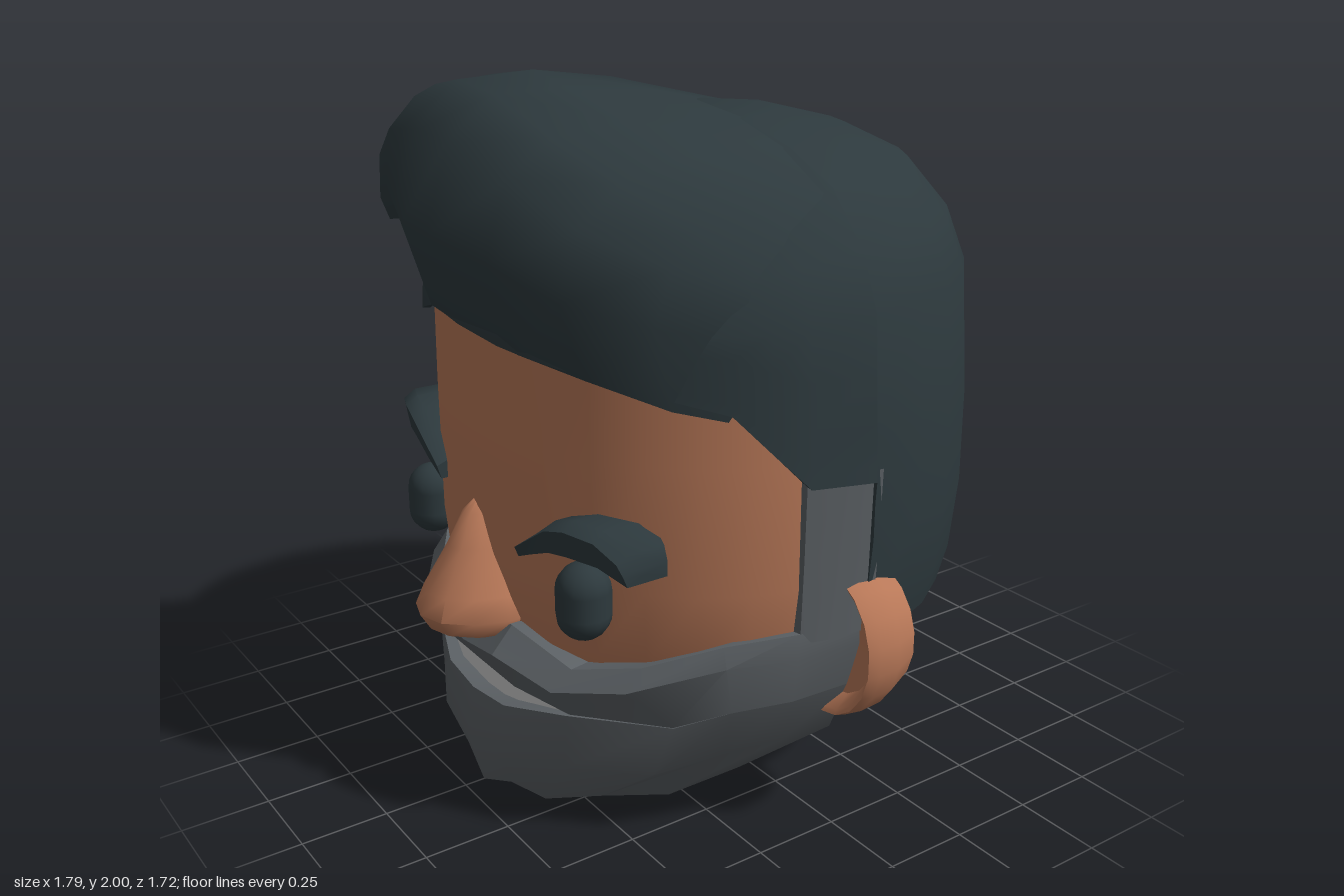
import * as THREE from 'three';
import { toCreasedNormals } from 'three/addons/utils/BufferGeometryUtils.js';

const paint = (color) => new THREE.MeshStandardMaterial({ color, side: THREE.DoubleSide });
const { sin, cos, sqrt, max, min, PI } = Math;

// Surface through rows of [x, y, z] points; closed joins each row end to start
function grid(rows, closed = false, crease = 0.7) {
  const n = rows[0].length, index = [];
  for (let r = 0; r < rows.length - 1; r++) {
    for (let c = 0; c < (closed ? n : n - 1); c++) {
      const a = r * n + c, b = r * n + (c + 1) % n;
      index.push(a, b, b + n, a, b + n, a + n);
    }
  }
  const g = new THREE.BufferGeometry();
  g.setAttribute('position', new THREE.Float32BufferAttribute(rows.flat(2), 3));
  g.setIndex(index);
  return toCreasedNormals(g, crease);
}

// Horizontal oval whose front and back have different depths
function oval(y, hw, front, back, cz = 0, n = 32) {
  return Array.from({ length: n }, (_, i) => {
    const a = (i / n) * PI * 2, c = cos(a);
    return [hw * sin(a), y, cz + c * (c > 0 ? front : back)];
  });
}

// Linear lookup in a list of [key, value]
function lookup(list, k) {
  let i = 1;
  while (i < list.length - 1 && k > list[i][0]) i++;
  const [k0, v0] = list[i - 1], [k1, v1] = list[i];
  return v0 + (v1 - v0) * min(1, max(0, (k - k0) / (k1 - k0)));
}

// Full row from its left half, which starts on the centre line
const mirrorRow = (half) => [...half.slice(1).reverse().map(([x, y, z]) => [-x, y, z]), ...half];
const faceZ = (x) => 0.68 * sqrt(1 - (x / 0.765) ** 2);

export function createModel() {
  const model = new THREE.Group();
  model.name = 'beardedHead';
  const skin = paint(0xb87858), hair = paint(0x2d393d), beard = paint(0x5b6064), pale = paint(0xcccccc);
  const add = (name, geometry, material) => {
    const mesh = new THREE.Mesh(geometry, material);
    mesh.name = name;
    model.add(mesh);
    return mesh;
  };

  // Head: y, half width, front, back
  const headRings = [
    [0.08, 0, 0, 0], [0.08, 0.4, 0.36, 0.4], [0.1, 0.46, 0.42, 0.46], [0.2, 0.56, 0.5, 0.6], [0.35, 0.67, 0.57, 0.72],
    [0.54, 0.74, 0.66, 0.79], [0.75, 0.765, 0.68, 0.82], [1.1, 0.765, 0.68, 0.82], [1.42, 0.75, 0.68, 0.79], [1.5, 0.5, 0.4, 0.5],
  ];
  add('head', grid(headRings.map((r) => oval(...r)), true), skin);

  // Nose
  const noseRings = [
    [0.48, 0, 0, 0], [0.485, 0.08, 0.09, 0.1], [0.53, 0.155, 0.21, 0.1], [0.58, 0.178, 0.24, 0.1],
    [0.64, 0.15, 0.215, 0.1], [0.76, 0.09, 0.14, 0.1], [0.85, 0.05, 0.095, 0.1], [0.885, 0.015, 0.06, 0.1], [0.885, 0, 0, 0],
  ];
  add('nose', grid(noseRings.map((r) => oval(...r, 0.62, 14)), true, 1), skin);

  // Ears: turned discs with a dished front and a tapered back
  const earProfile = [[0, -0.05], [0.76, -0.04], [0.9, 0.008], [0.96, 0.016], [1, -0.02], [0.98, -0.09], [0.82, -0.17], [0, -0.17]];
  const earGeometry = new THREE.LatheGeometry(earProfile.map(([r, z]) => new THREE.Vector2(r, z)), 18);
  earGeometry.rotateX(PI / 2).scale(0.2, 0.225, 1);
  for (const s of [1, -1]) {
    const ear = add(s > 0 ? 'leftEar' : 'rightEar', toCreasedNormals(earGeometry, 0.7), skin);
    ear.position.set(s * 0.7, 0.555, 0);

    // Eyes
    const eye = add(s > 0 ? 'leftEye' : 'rightEye', new THREE.CapsuleGeometry(0.075, 0.065, 6, 14), hair);
    eye.position.set(s * 0.43, 0.725, 0.597);
  }

  // Eyebrows: x, y, half height along an arch; the right one is raised
  const brow = (name, s, arch) => {
    const rows = arch.map(([x, y, h]) => {
      const f = faceZ(x) + 0.01 + 0.35 * (x - 0.2), b = max(faceZ(x) - 0.04, 0.45);
      return [[s * x, y - h, b], [s * x, y - h, f], [s * x, y + h * 0.5, f + 0.012], [s * x, y + h, f - 0.025], [s * x, y + h, b]];
    });
    const end = (row) => row.map(() => row[0].map((_, k) => row.reduce((t, p) => t + p[k], 0) / row.length));
    add(name, grid([end(rows[0]), ...rows, end(rows.at(-1))], true), hair);
  };
  brow('leftBrow', 1, [[0.22, 0.81, 0.02], [0.29, 0.85, 0.028], [0.37, 0.897, 0.042], [0.44, 0.912, 0.048], [0.53, 0.905, 0.045], [0.585, 0.865, 0.035], [0.6, 0.84, 0.02]]);
  brow('rightBrow', -1, [[0.22, 0.895, 0.027], [0.29, 0.945, 0.038], [0.38, 0.99, 0.043], [0.45, 1.0, 0.047], [0.53, 0.995, 0.045], [0.58, 0.97, 0.033], [0.605, 0.95, 0.015]]);

  // Beard: each row runs from the centre line round to the ear
  const sideLip = [[0.69, 0.42, 0.31], [0.735, 0.42, 0.14], [0.745, 0.42, -0.05]];
  const top = [[0, 0.55, 0.67], [0.18, 0.572, 0.675], [0.38, 0.505, 0.61], [0.55, 0.55, 0.5], [0.68, 0.615, 0.33], [0.76, 0.63, 0.14], [0.785, 0.63, -0.05]];
  const ledge = [[0, 0.47, 0.735], [0.18, 0.5, 0.74], [0.37, 0.45, 0.67], [0.55, 0.49, 0.55], [0.7, 0.56, 0.335], [0.765, 0.56, 0.15], [0.785, 0.56, -0.05]];
  const upperLip = [[0, 0.388, 0.68], [0.18, 0.383, 0.675], [0.38, 0.372, 0.62], [0.58, 0.36, 0.42], ...sideLip];
  const lowerLip = [[0, 0.31, 0.71], [0.16, 0.322, 0.7], [0.37, 0.365, 0.625], [0.58, 0.358, 0.42], ...sideLip];
  const chin = [[0, 0.17, 0.735], [0.16, 0.19, 0.72], [0.36, 0.2, 0.625], [0.53, 0.2, 0.45], [0.62, 0.25, 0.28], [0.675, 0.27, 0.12], [0.67, 0.25, -0.05]];
  const hem = [[0, 0, 0.69], [0.13, 0.05, 0.67], [0.22, 0.02, 0.61], [0.35, 0.058, 0.5], [0.46, 0.065, 0.35], [0.53, 0.12, 0.16], [0.56, 0.16, -0.05]];
  const sole = [[0, 0.055, 0.5], [0.1, 0.06, 0.49], [0.2, 0.058, 0.46], [0.3, 0.063, 0.39], [0.39, 0.07, 0.27], [0.44, 0.085, 0.1], [0.46, 0.1, -0.05]];
  const under = [[0, 0.074, 0.24], [0.1, 0.074, 0.23], [0.19, 0.074, 0.2], [0.27, 0.075, 0.15], [0.33, 0.076, 0.08], [0.37, 0.078, 0.01], [0.4, 0.085, -0.05]];
  const inward = (row) => row.map(([x, y, z]) => [x * 0.96, y, z - 0.09]);
  const row = (half) => { // turn the rear edge in to the head
    const [x, y, z] = half.at(-1);
    return mirrorRow([...half, [x * 0.88, y, z - 0.02]]);
  };
  add('moustache', grid([inward(upperLip), upperLip, ledge, top, inward(top)].map(row), false, 0.5), beard);
  add('chinBeard', grid([under, sole, hem, chin, lowerLip, inward(lowerLip)].map(row), false, 0.8), beard);

  // Sideburns
  for (const s of [1, -1]) {
    const strip = [[0.6, 0], [0.84, 0.008], [1.06, 0.012]].map(([y, o]) =>
      [[0.71, 0.142], [0.758 + o, 0.14], [0.787 + o, 0.04], [0.79 + o * 1.6, -0.08]].map(([x, z]) => [s * x, y, z]));
    add(s > 0 ? 'leftSideburn' : 'rightSideburn', grid(strip), beard);
  }

  // Teeth
  add('teeth', grid([
    [[-0.34, 0.365, 0.61], [-0.16, 0.295, 0.66], [0.1, 0.3, 0.665], [0.34, 0.36, 0.61]],
    [[-0.34, 0.39, 0.61], [-0.16, 0.41, 0.65], [0.1, 0.41, 0.655], [0.34, 0.39, 0.61]],
  ]), pale);

  // Hair cap: the lower edge follows the hairline, by angle from the front
  const nape = [[78, 1.05], [93.4, 1.03], [93.6, 0.54], [180, 0.54]];
  const leftLine = [[0, 1.385], [20, 1.355], [40, 1.325], [62, 1.255], ...nape];
  const rightLine = [[0, 1.385], [13, 1.395], [30, 1.325], [62, 1.25], ...nape];
  const girth = [[0.54, 0.765], [0.62, 0.79], [0.85, 0.812], [1.02, 0.82], [1.47, 0.79]];
  const dome = [[1.62, 0.735], [1.76, 0.62], [1.84, 0.46], [1.89, 0.27], [1.92, 0]];
  const half = [0, 13, 21, 30, 40, 51, 62, 70, 78, 93.4, 93.6, 106, 118, 130, 143, 155, 168];
  const angles = [...half, 180, ...half.slice(1).reverse().map((d) => 360 - d)];
  // The crown dips toward the front and the right, below the quiff
  const capPoint = (deg, y, r) => {
    const a = deg * PI / 180, x = sin(a) * r, z = cos(a) * r * (cos(a) > 0 ? 0.885 : 1.055);
    const dip = min(1, max(0, (y - 1.4) / 0.25));
    return [x, y - dip * (0.2 * max(0, z) + 0.17 * max(0, -x)), z];
  };
  const edge = (deg) => (deg > 180 ? lookup(rightLine, 360 - deg) : lookup(leftLine, deg));
  const capRows = [angles.map((d) => capPoint(d, edge(d), lookup(girth, edge(d)) * 0.97))];
  for (const t of [0, 0.12, 0.35, 0.65, 1]) {
    capRows.push(angles.map((d) => {
      const y = edge(d) + (1.47 - edge(d)) * t;
      return capPoint(d, y, lookup(girth, y));
    }));
  }
  for (const [y, r] of dome) capRows.push(angles.map((d) => capPoint(d, y, r)));
  add('hairCap', grid(capRows, true, 0.9), hair);

  // Swept quiff: slices from the parting to the left, each [z, y] from fringe to crown
  const slices = [
    [-0.56, [[0.6, 1.565], [0.63, 1.6], [0.645, 1.65], [0.62, 1.69], [0.57, 1.71], [0.52, 1.67], [0.48, 1.59]]],
    [-0.48, [[0.66, 1.575], [0.685, 1.64], [0.68, 1.76], [0.62, 1.85], [0.55, 1.88], [0.47, 1.82], [0.41, 1.6]]],
    [-0.36, [[0.68, 1.6], [0.72, 1.68], [0.7, 1.85], [0.62, 1.93], [0.5, 1.95], [0.38, 1.9], [0.3, 1.66]]],
    [-0.27, [[0.69, 1.52], [0.74, 1.66], [0.71, 1.86], [0.6, 1.97], [0.42, 1.985], [0.25, 1.945], [0.2, 1.73]]],
    [-0.18, [[0.69, 1.395], [0.765, 1.63], [0.7, 1.87], [0.58, 1.99], [0.35, 2], [0.1, 1.965], [-0.5, 1.79]]],
    [0, [[0.7, 1.385], [0.78, 1.63], [0.71, 1.86], [0.57, 1.97], [0.35, 1.97], [0.05, 1.94], [-0.5, 1.82]]],
    [0.25, [[0.665, 1.355], [0.745, 1.6], [0.68, 1.8], [0.55, 1.89], [0.32, 1.91], [0, 1.9], [-0.45, 1.79]]],
    [0.45, [[0.59, 1.325], [0.665, 1.53], [0.6, 1.7], [0.48, 1.8], [0.28, 1.845], [0, 1.845], [-0.4, 1.73]]],
    [0.62, [[0.45, 1.265], [0.5, 1.48], [0.45, 1.62], [0.36, 1.69], [0.2, 1.745], [0, 1.755], [-0.3, 1.64]]],
    [0.71, [[0.2, 1.19], [0.25, 1.42], [0.22, 1.5], [0.17, 1.53], [0.1, 1.56], [0, 1.57], [-0.2, 1.5]]],
  ];
  add('quiff', grid(slices.map(([x, line]) => line.map(([z, y]) => [x, y, z])), false, 0.9), hair);

  return model;
}
